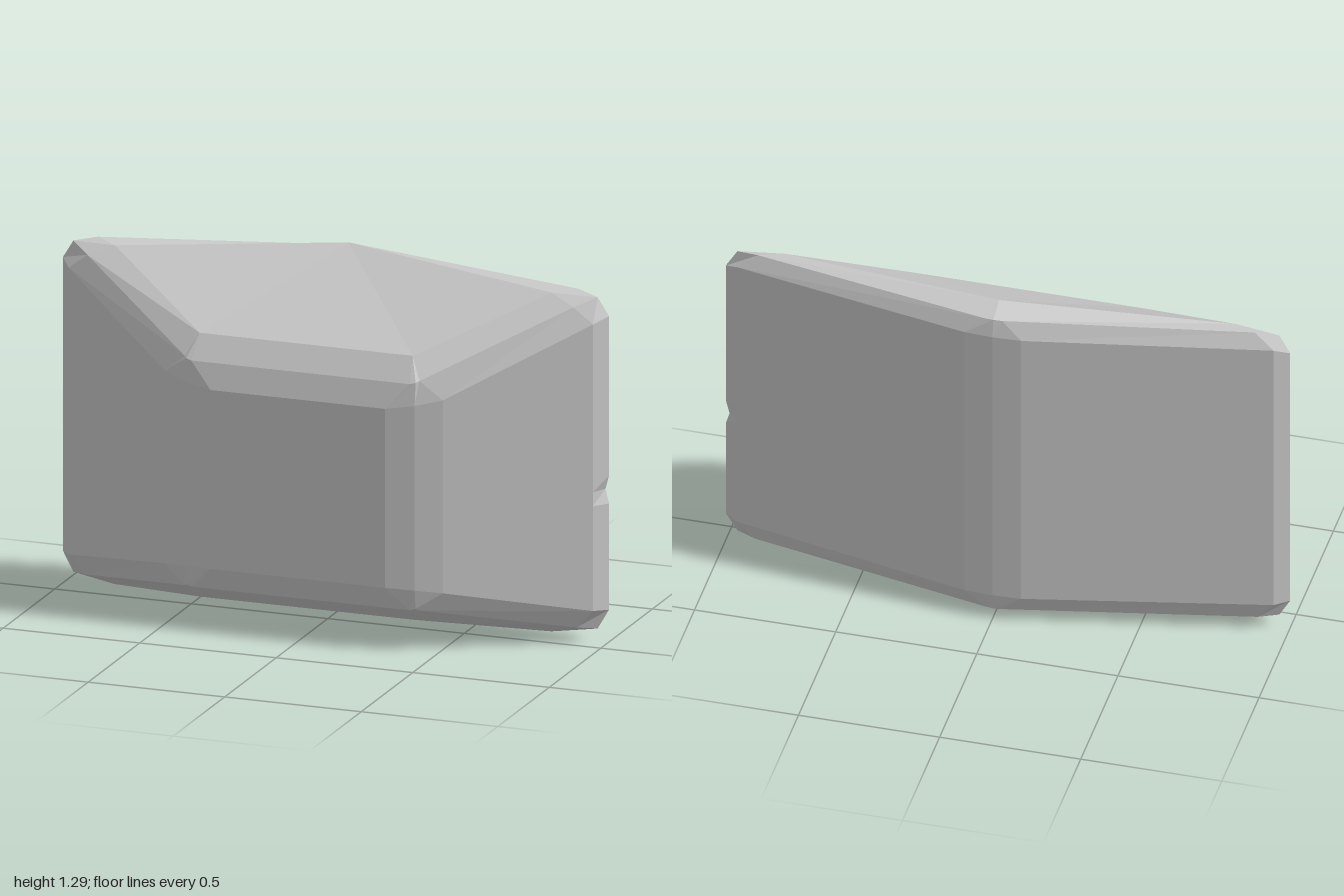
import * as THREE from 'three';

// Half outline (+x side) of the walls: front corner, side corner, back corner
const outline = [
  [0.32, 0.29], [0.42, 0.27], [0.51, 0.235],
  [0.96, -0.03], [1, -0.08], [0.95, -0.113],
  [0.1, -0.285], [0, -0.29],
];
const wallRing = ys => outline.map(([x, z], i) => [x, Array.isArray(ys) ? ys[i] : ys, z]);

// Corner-only ring: every bevelled corner shrinks to one point
const cornerRing = (front, side, back) => [front, front, front, side, side, side, back, back];

// Mirrors a half ring into the closed 15-point loop, counter-clockwise from above
function closeRing(half) {
  const mirrored = half.slice(0, 7).reverse().map(([x, y, z]) => [-x, y, z]);
  return [...half, ...mirrored];
}

function stoneGeometry() {
  const rings = [
    // underside and lower bevel
    cornerRing([0.39, 0.095, 0.19], [0.8, 0.03, -0.05], [0, 0.005, -0.2]),
    [[0.4, 0.15, 0.262], [0.42, 0.157, 0.26], [0.43, 0.15, 0.252],
      [0.9, 0.06, -0.03], [0.96, 0.05, -0.075], [0.89, 0.045, -0.1],
      [0.03, 0.04, -0.273], [0, 0.04, -0.277]],
    // upright walls, with three close levels for the small nick
    wallRing([0.23, 0.225, 0.215, 0.125, 0.12, 0.115, 0.105, 0.105]),
    wallRing(0.5),
    wallRing(0.55),
    wallRing(0.6),
    wallRing([0.87, 0.885, 0.905, 1.15, 1.17, 1.195, 1.2, 1.2]),
    // upper bevel and sloping top
    [[0.4, 0.96, 0.265], [0.42, 0.965, 0.26], [0.43, 0.97, 0.25],
      [0.89, 1.205, -0.025], [0.96, 1.235, -0.075], [0.88, 1.25, -0.1],
      [0.03, 1.263, -0.273], [0, 1.265, -0.277]],
    cornerRing([0.39, 1.045, 0.21], [0.8, 1.24, -0.055], [0, 1.295, -0.2]),
  ].map(closeRing);
  rings[4][4] = [0.985, 0.55, -0.086]; // nick in the left edge

  const positions = [];
  const same = (a, b) => a.every((v, i) => v === b[i]);
  const triangle = (a, b, c) => {
    if (!same(a, b) && !same(b, c) && !same(a, c)) positions.push(...a, ...b, ...c);
  };
  const count = rings[0].length;
  for (let r = 0; r < rings.length - 1; r++) {
    const low = rings[r], high = rings[r + 1];
    for (let i = 0; i < count; i++) {
      const j = (i + 1) % count;
      triangle(low[i], low[j], high[j]);
      triangle(low[i], high[j], high[i]);
    }
  }
  // caps fan out from the back corner
  const bottom = rings[0], top = rings[rings.length - 1];
  for (let k = 1; k < count - 1; k++) {
    const i = (7 + k) % count, j = (8 + k) % count;
    triangle(top[7], top[i], top[j]);
    triangle(bottom[7], bottom[j], bottom[i]);
  }

  const geometry = new THREE.BufferGeometry();
  geometry.setAttribute('position', new THREE.Float32BufferAttribute(positions, 3));
  geometry.computeVertexNormals();
  return geometry;
}

export function createModel() {
  const group = new THREE.Group();
  group.name = 'bevelledStone';
  const material = new THREE.MeshStandardMaterial({ color: 0xcccccc, flatShading: true });
  const stone = new THREE.Mesh(stoneGeometry(), material);
  stone.name = 'stoneBlock';
  group.add(stone);
  return group;
}
